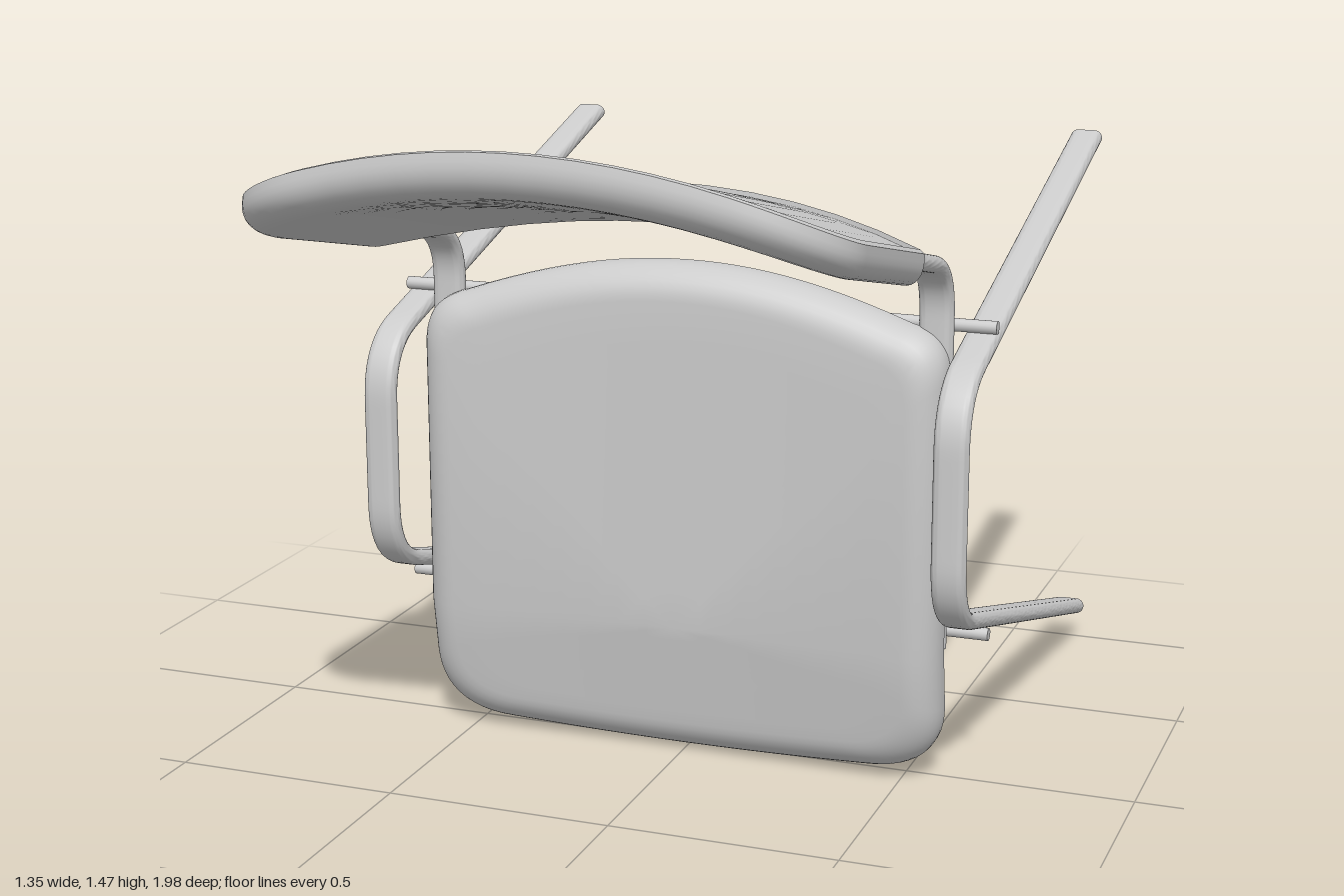
import * as THREE from 'three';
import { toCreasedNormals } from 'three/addons/utils/BufferGeometryUtils.js';

const material = new THREE.MeshStandardMaterial({ color: 0xcccccc });

function addMesh(parent, geometry, name) {
  const mesh = new THREE.Mesh(geometry, material);
  mesh.name = name;
  parent.add(mesh);
  return mesh;
}

// Flat-oval tube swept along a path in the z-y plane
function ovalTube(path, steps) {
  const r = 0.018, h = 0.019;
  const section = new THREE.Shape();
  section.absarc(h, 0, r, -Math.PI / 2, Math.PI / 2);
  section.absarc(-h, 0, r, Math.PI / 2, Math.PI * 1.5);
  const g = new THREE.ExtrudeGeometry(section, { extrudePath: path, steps, curveSegments: 8, bevelEnabled: false });
  return toCreasedNormals(g, 0.8);
}

const P = (z, y) => new THREE.Vector3(0, y, z);
const line = (path, a, b) => path.add(new THREE.LineCurve3(P(...a), P(...b)));
const bend = (path, a, b, c) => path.add(new THREE.QuadraticBezierCurve3(P(...a), P(...b), P(...c)));

// Padded panel: rings run from the back centre over the rim to the front centre.
// inset(x, v, i) shrinks the outline, place(x, v, d) bends the panel into space.
function cushion(outline, centre, thickness, round, inset, place) {
  const rings = [];
  const ring = (i, d, t = 1) => rings.push(outline.map(p => {
    const [x, v] = inset(p.x, p.y, i);
    return place(centre[0] + (x - centre[0]) * t, centre[1] + (v - centre[1]) * t, d);
  }));
  const N = 8;
  for (let k = 0; k <= N; k++) ring(0.018, 0.01, k / N);
  ring(0.012, 0);
  ring(0, 0.004);
  for (let k = 0; k <= 8; k++) {
    const a = k / 8 * Math.PI / 2;
    ring(round * (1 - Math.cos(a)), 0.02 + (thickness - 0.02) * Math.sin(a));
  }
  for (let k = N - 1; k >= 0; k--) ring(round, thickness, k / N);

  const n = outline.length, index = [];
  for (let k = 0; k < rings.length - 1; k++) {
    for (let j = 0; j < n; j++) {
      const a = k * n + j, b = k * n + (j + 1) % n;
      if (k > 0) index.push(a, b, a + n);
      if (k < rings.length - 2) index.push(b, b + n, a + n);
    }
  }
  // Close the two fans around the centre points
  for (let j = 0; j < n; j++) {
    const b = (j + 1) % n;
    index.push(j, n + b, n + j);
    const k = (rings.length - 2) * n;
    index.push(k + j, k + b, k + n + j);
  }
  // The first strip is covered by the fan above
  const strip = index.filter((_, q) => {
    const q0 = q - q % 3, t = [index[q0], index[q0 + 1], index[q0 + 2]];
    return !(t.filter(v => v < n).length === 2);
  });
  for (let j = 0; j < n; j++) if (!strip.includes(j)) break;
  const g = new THREE.BufferGeometry();
  g.setAttribute('position', new THREE.Float32BufferAttribute(rings.flat(2), 3));
  g.setIndex(strip);
  return toCreasedNormals(g, 0.7);
}

function outlinePoints(shape) {
  const pts = shape.getPoints(12);
  if (pts[0].distanceTo(pts[pts.length - 1]) < 1e-5) pts.pop();
  return pts;
}

function makeSeat() {
  const foldY = 0.31;
  const s = new THREE.Shape();
  s.moveTo(0.59, foldY);
  s.lineTo(0.59, 0.9);
  s.bezierCurveTo(0.59, 0.97, 0.56, 1.0, 0.5, 1.015);
  s.bezierCurveTo(0.3, 1.085, 0.15, 1.11, 0, 1.11);
  s.bezierCurveTo(-0.15, 1.11, -0.3, 1.085, -0.5, 1.015);
  s.bezierCurveTo(-0.56, 1.0, -0.59, 0.97, -0.59, 0.9);
  s.lineTo(-0.59, foldY);
  s.lineTo(-0.59, 0.18);
  s.bezierCurveTo(-0.59, 0.09, -0.54, 0.025, -0.42, 0.02);
  s.quadraticCurveTo(0, -0.01, 0.42, 0.02);
  s.bezierCurveTo(0.54, 0.025, 0.59, 0.09, 0.59, 0.18);
  s.lineTo(0.59, foldY);
  const inset = (x, y, i) => [x * (1 - i / 0.59), foldY + (y - foldY) * (1 - i / (y > foldY ? 0.8 : 0.31))];
  // Slightly dished across, front part folded back below foldY
  const place = (x, y, d) => [x, y, 0.022 + 0.025 * (x / 0.59) ** 2 - 0.16 * Math.max(0, foldY - y) + d];
  return cushion(outlinePoints(s), [0, foldY], 0.095, 0.075, inset, place);
}

function makeBackrest() {
  const w = 0.615;
  const near = x => 0.17 + 0.2 * (x / w) ** 2;
  const s = new THREE.Shape();
  s.moveTo(w, 0.37);
  s.lineTo(w, 0.76);
  s.bezierCurveTo(w, 0.86, 0.54, 0.94, 0.42, 0.95);
  s.quadraticCurveTo(0, 0.99, -0.42, 0.95);
  s.bezierCurveTo(-0.54, 0.94, -w, 0.86, -w, 0.76);
  s.lineTo(-w, 0.37);
  s.quadraticCurveTo(0, -0.03, w, 0.37);
  // The lower edge stays square, the other edges are rounded
  const inset = (x, v, i) => {
    const x2 = x * (1 - i / w);
    return [x2, near(x2) + (v - near(x)) * (1 - i / 0.8)];
  };
  const place = (x, v, d) => [x, 1.147 + 0.225 * v + 0.115 * (1 - (x / w) ** 2) - 0.975 * d, v + 0.22 * d];
  return cushion(outlinePoints(s), [0, 0.55], 0.085, 0.06, inset, place);
}

export function createModel() {
  const chair = new THREE.Group();
  chair.name = 'chair';

  addMesh(chair, makeSeat(), 'seat');
  addMesh(chair, makeBackrest(), 'backrest');

  // Side leg loops
  const legPath = new THREE.CurvePath();
  line(legPath, [-0.995, 1.26], [0.1, 0.945]);
  bend(legPath, [0.1, 0.945], [0.217, 0.911], [0.217, 0.79]);
  line(legPath, [0.217, 0.79], [0.217, 0.555]);
  bend(legPath, [0.217, 0.555], [0.217, 0.434], [0.1, 0.4]);
  line(legPath, [0.1, 0.4], [-0.995, 0.085]);
  const legGeometry = ovalTube(legPath, 140);

  // Uprights carrying the backrest
  const uprightPath = new THREE.CurvePath();
  line(uprightPath, [0.42, 1.224], [0.14, 1.16]);
  bend(uprightPath, [0.14, 1.16], [0.035, 1.136], [0.035, 1.03]);
  line(uprightPath, [0.035, 1.03], [0.035, 0.31]);
  const uprightGeometry = ovalTube(uprightPath, 80);

  for (const [side, sx] of [['left', 1], ['right', -1]]) {
    addMesh(chair, legGeometry, side + 'LegLoop').position.x = sx * 0.638;
    addMesh(chair, uprightGeometry, side + 'Upright').position.x = sx * 0.553;
  }

  // Cross bars under the seat
  for (const [name, y] of [['rearCrossBar', 1.006], ['frontCrossBar', 0.338]]) {
    const bar = addMesh(chair, new THREE.CylinderGeometry(0.014, 0.014, 1.345, 16), name);
    bar.rotation.z = Math.PI / 2;
    bar.position.set(0, y, -0.005);
  }
  return chair;
}
